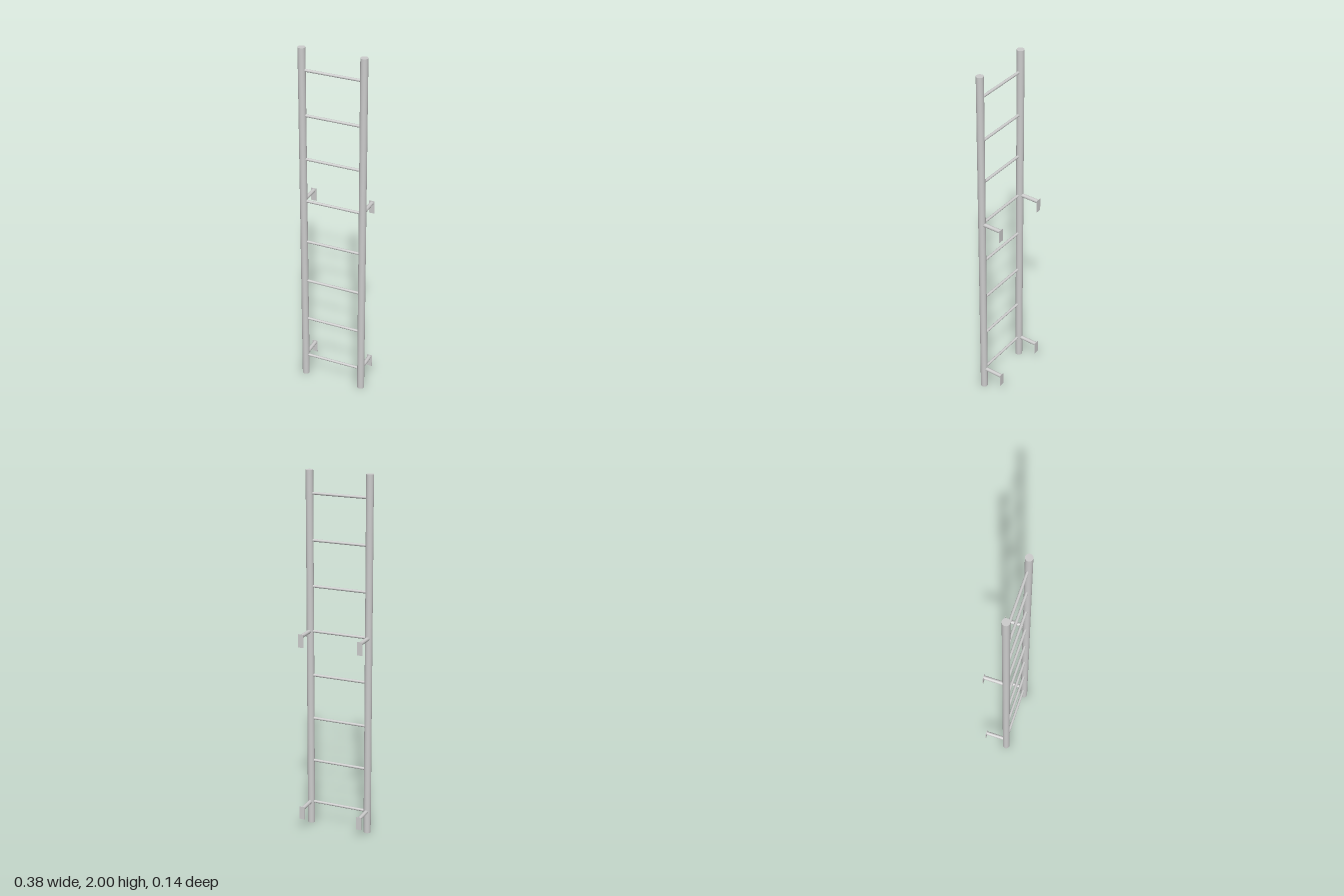
import * as THREE from 'three';

export function createModel() {
  const group = new THREE.Group();
  group.name = 'wallLadder';
  const material = new THREE.MeshStandardMaterial({ color: 0xcccccc });

  const railX = 0.17, railZ = 0.051, railRadius = 0.02;
  const plateZ = -0.072, firstRung = 0.127, rungStep = 0.25;

  const add = (name, geometry, x, y, z) => {
    const mesh = new THREE.Mesh(geometry, material);
    mesh.name = name;
    mesh.position.set(x, y, z);
    group.add(mesh);
  };

  const railGeo = new THREE.CylinderGeometry(railRadius, railRadius, 2, 32);
  const rungGeo = new THREE.CylinderGeometry(0.0075, 0.0075, railX * 2, 24).rotateZ(Math.PI / 2);
  const armGeo = new THREE.CylinderGeometry(0.0107, 0.0107, railZ - plateZ, 24).rotateX(Math.PI / 2);
  const plateGeo = new THREE.BoxGeometry(0.031, 0.074, 0.002);

  // Rungs between the rails
  for (let i = 0; i < 8; i++) add('rung', rungGeo, 0, firstRung + i * rungStep, railZ);

  for (const [side, label] of [[1, 'left'], [-1, 'right']]) {
    // Upright rail
    add(label + 'Rail', railGeo, side * railX, 1, railZ);
    // Wall brackets: round arm and flat plate hanging below it
    for (const y of [firstRung, firstRung + 4 * rungStep]) {
      add(label + 'BracketArm', armGeo, side * railX, y, (railZ + plateZ) / 2);
      add(label + 'WallPlate', plateGeo, side * railX, y - 0.024, plateZ);
    }
  }
  return group;
}
